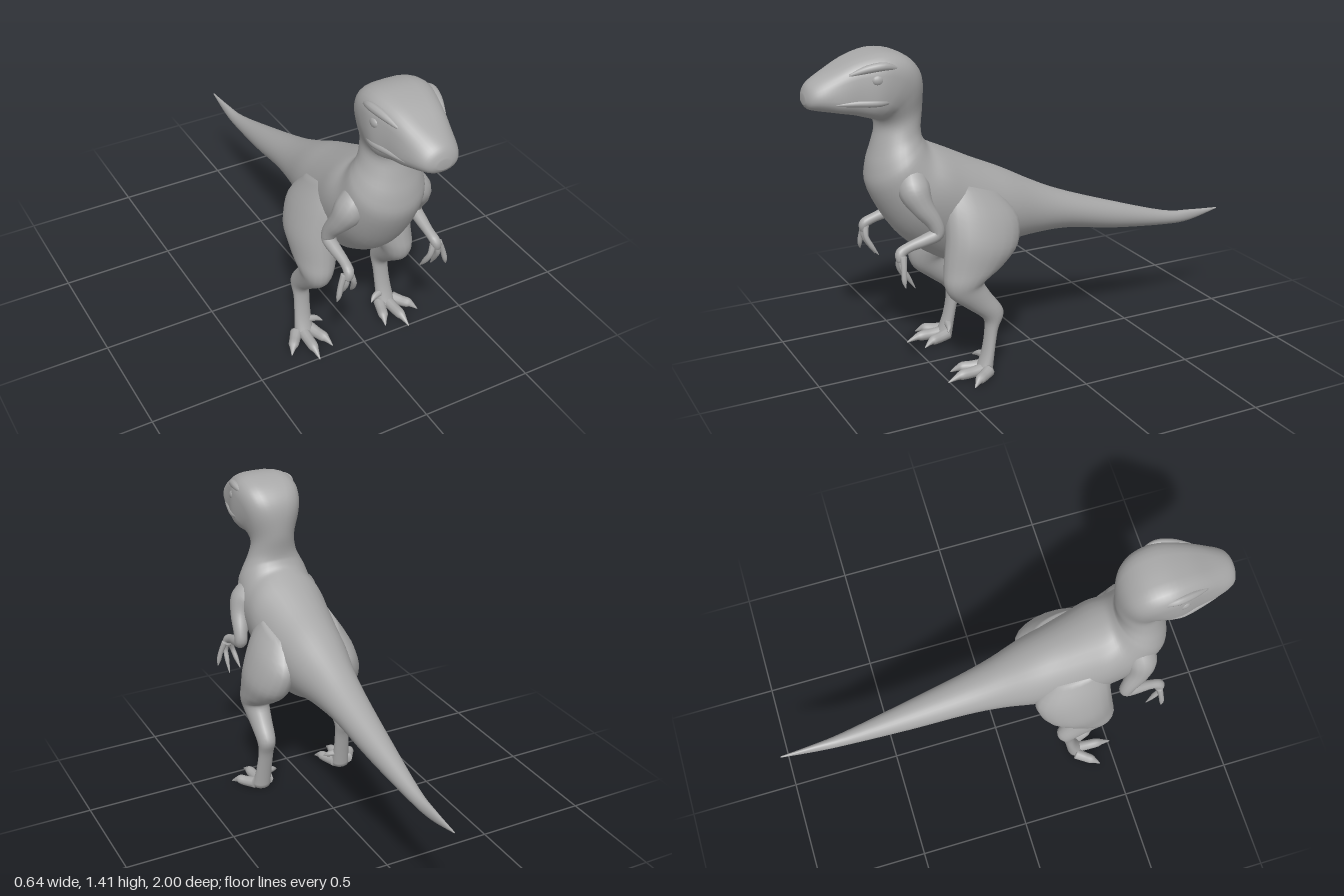
import * as THREE from 'three';

const skin = new THREE.MeshStandardMaterial({ color: 0xa8a8a8 });
skin.name = 'grey skin';

// Catmull-Rom interpolation of every column in a table of sections
function refine(rows, steps) {
  const out = [], n = rows.length - 1;
  for (let i = 0; i < n; i++) {
    const a = rows[Math.max(i - 1, 0)], b = rows[i], c = rows[i + 1], d = rows[Math.min(i + 2, n)];
    for (let s = 0; s < steps; s++) {
      const t = s / steps;
      out.push(b.map((v, k) => v + 0.5 * t * (c[k] - a[k] +
        t * (2 * a[k] - 5 * v + 4 * c[k] - d[k] + t * (3 * (v - c[k]) + d[k] - a[k])))));
    }
  }
  out.push(rows[n]);
  return out;
}

// Closed smooth surface through rings of points, always facing outwards
function loft(name, rings) {
  const m = rings[0].length, pos = [], index = [];
  rings.forEach(r => r.forEach(p => pos.push(p.x, p.y, p.z)));
  for (let i = 0; i < rings.length - 1; i++) {
    for (let j = 0; j < m; j++) {
      const a = i * m + j, b = i * m + (j + 1) % m;
      index.push(a, b, a + m, b, b + m, a + m);
    }
  }
  [0, rings.length - 1].forEach(e => {
    const c = new THREE.Vector3();
    rings[e].forEach(p => c.addScaledVector(p, 1 / m));
    const ci = pos.length / 3;
    pos.push(c.x, c.y, c.z);
    for (let j = 0; j < m; j++) {
      const a = e * m + j, b = e * m + (j + 1) % m;
      index.push(...(e === 0 ? [ci, b, a] : [ci, a, b]));
    }
  });
  const at = i => new THREE.Vector3().fromArray(pos, i * 3);
  let volume = 0;
  for (let i = 0; i < index.length; i += 3) {
    volume += at(index[i]).dot(at(index[i + 1]).cross(at(index[i + 2])));
  }
  if (volume < 0) index.reverse();
  const g = new THREE.BufferGeometry();
  g.setAttribute('position', new THREE.Float32BufferAttribute(pos, 3));
  g.setIndex(index);
  g.computeVertexNormals();
  const mesh = new THREE.Mesh(g, skin);
  mesh.name = name;
  return mesh;
}

// Section row: z1, y1, z2, y2 (opposite edges), half width, centre x
// shape(z1, y1, z2) gives the width taper and the squareness of a section
function sectionLoft(name, rows, sides, shape) {
  return loft(name, refine(rows, 4).map(([z1, y1, z2, y2, w, x = 0]) => {
    const [taper, power] = shape(z1, y1, z2);
    return Array.from({ length: sides }, (_, j) => {
      const a = j / sides * Math.PI * 2, c = Math.cos(a), s = Math.sin(a);
      const u = Math.sign(c) * Math.abs(c) ** power, v = Math.sign(s) * Math.abs(s) ** power;
      return new THREE.Vector3(x + w * u * (1 + taper * v),
        (y1 + y2) / 2 + v * (y1 - y2) / 2, (z1 + z2) / 2 + v * (z1 - z2) / 2);
    });
  }));
}

// Round limb through rows of x, y, z, radius
function limb(name, rows, sides) {
  const pts = refine(rows, 5);
  const v = r => new THREE.Vector3(r[0], r[1], r[2]);
  let side = new THREE.Vector3(1, 0.01, 0.02);
  return loft(name, pts.map((p, i) => {
    const dir = v(pts[Math.min(i + 1, pts.length - 1)]).sub(v(pts[Math.max(i - 1, 0)])).normalize();
    side = side.clone().addScaledVector(dir, -side.dot(dir)).normalize();
    const up = dir.clone().cross(side);
    return Array.from({ length: sides }, (_, j) => {
      const a = j / sides * Math.PI * 2;
      const q = v(p).addScaledVector(side, p[3] * Math.cos(a)).addScaledVector(up, p[3] * Math.sin(a));
      q.y = Math.max(q.y, 0);
      return q;
    });
  }));
}

// Keeled belly, boxy skull and a snout that narrows towards the top
function bodyShape(z1, y1, z2) {
  const { smoothstep } = THREE.MathUtils;
  const keel = 0.25 * Math.exp(-(((z2 - 0.43) / 0.17) ** 2));
  const boxy = smoothstep(y1, 1.15, 1.4) * (1 - smoothstep(z1, 0.85, 1));
  return [keel - 0.15 * smoothstep(z2, 0.76, 0.95), 1 - 0.4 * boxy];
}

export function createModel() {
  const model = new THREE.Group();
  model.name = 'raptor';

  // Tail and torso, then neck and head, joined into one continuous skin
  const trunk = [
    [-1, 0.475, -1, 0.47, 0.003],
    [-0.85, 0.488, -0.84, 0.437, 0.016],
    [-0.7, 0.508, -0.7, 0.44, 0.03],
    [-0.4, 0.605, -0.42, 0.473, 0.062],
    [-0.15, 0.695, -0.17, 0.518, 0.088],
    [0, 0.765, 0, 0.522, 0.112],
    [0.15, 0.845, 0.13, 0.51, 0.145],
    [0.28, 0.905, 0.25, 0.47, 0.165],
    [0.4, 0.965, 0.36, 0.45, 0.175],
    [0.465, 0.996, 0.5, 0.52, 0.18],
    [0.498, 1.014, 0.64, 0.64, 0.177],
    [0.515, 1.04, 0.742, 0.82, 0.163],
  ];
  const neckAndHead = [
    [0.52, 1.06, 0.748, 0.92, 0.14],
    [0.518, 1.095, 0.725, 1.01, 0.113],
    [0.508, 1.17, 0.707, 1.08, 0.1],
    [0.511, 1.27, 0.71, 1.122, 0.118],
    [0.54, 1.34, 0.72, 1.132, 0.133],
    [0.6, 1.39, 0.735, 1.138, 0.144],
    [0.69, 1.41, 0.765, 1.148, 0.146],
    [0.79, 1.393, 0.82, 1.165, 0.126],
    [0.88, 1.355, 0.89, 1.18, 0.108],
    [0.95, 1.322, 0.95, 1.19, 0.09],
    [0.985, 1.295, 0.985, 1.2, 0.066],
    [1, 1.26, 1, 1.22, 0.03],
  ];
  model.add(sectionLoft('body', trunk.concat(neckAndHead), 32, bodyShape));

  for (const s of [1, -1]) {
    const tag = s > 0 ? 'left' : 'right';
    const add = (part, rows, sides) =>
      model.add(limb(tag + part, rows.map(([x, ...rest]) => [x * s, ...rest]), sides));

    // Thigh, shin and ankle, from front and back edges
    const leg = [
      [0.44, 0.86, 0.22, 0.78, 0.045, 0.12],
      [0.47, 0.75, 0.14, 0.67, 0.085, 0.145],
      [0.48, 0.62, 0.16, 0.56, 0.098, 0.172],
      [0.495, 0.5, 0.23, 0.49, 0.088, 0.182],
      [0.5, 0.43, 0.3, 0.45, 0.073, 0.192],
      [0.475, 0.372, 0.328, 0.425, 0.06, 0.195],
      [0.4, 0.31, 0.295, 0.365, 0.05, 0.197],
      [0.333, 0.255, 0.24, 0.28, 0.042, 0.2],
      [0.322, 0.2, 0.268, 0.2, 0.036, 0.2],
      [0.34, 0.1, 0.288, 0.1, 0.038, 0.205],
      [0.375, 0.02, 0.302, 0.004, 0.044, 0.21],
    ].map(([a, b, c, d, w, x]) => [a, b, c, d, w, x * s]);
    model.add(sectionLoft(tag + 'Leg', leg, 20, () => [0, 1]));

    // Clawed toes and the small inner spur
    [[0.245, 0.32, 0.43], [0.215, 0.225, 0.51], [0.18, 0.135, 0.46]].forEach(([x0, x1, z1], i) => {
      const along = (t, y, r) => [x0 + (x1 - x0) * t, y, 0.33 + (z1 - 0.33) * t, r];
      add('Toe' + (i + 1), [along(0, 0.03, 0.027), along(0.35, 0.026, 0.024),
        along(0.62, 0.026, 0.022), along(0.76, 0.022, 0.014), along(1, 0.006, 0.002)], 10);
    });
    add('Spur', [[0.185, 0.08, 0.325, 0.018], [0.15, 0.075, 0.335, 0.013], [0.125, 0.062, 0.35, 0.002]], 8);

    // Shoulder, upper arm and forearm
    add('Arm', [[0.11, 0.9, 0.6, 0.06], [0.15, 0.845, 0.605, 0.066], [0.18, 0.785, 0.585, 0.048],
      [0.2, 0.72, 0.545, 0.034], [0.205, 0.672, 0.535, 0.029], [0.203, 0.652, 0.585, 0.026],
      [0.2, 0.635, 0.65, 0.021], [0.203, 0.615, 0.695, 0.022], [0.21, 0.585, 0.695, 0.02]], 14);

    // Curved fingers
    [[0.165, 0.475, 0.65], [0.222, 0.462, 0.645], [0.258, 0.485, 0.7]].forEach(([x, y, z], i) => {
      const base = 0.197 + i * 0.012;
      add('Finger' + (i + 1), [[base, 0.605, 0.692, 0.015], [(base + x) / 2, 0.56, 0.698, 0.012],
        [x * 0.8 + base * 0.2, 0.515, (z + 0.705) / 2, 0.011], [x, y, z, 0.002]], 8);
    });

    // Brow ridge, eye and cheek ridge
    add('Brow', [[0.125, 1.345, 0.64, 0.006], [0.13, 1.362, 0.7, 0.017],
      [0.117, 1.355, 0.77, 0.017], [0.1, 1.335, 0.84, 0.006]], 10);
    const eye = new THREE.Mesh(new THREE.SphereGeometry(0.026, 16, 12), skin);
    eye.name = tag + 'Eye';
    eye.scale.set(0.6, 0.85, 1);
    eye.position.set(0.132 * s, 1.312, 0.735);
    model.add(eye);
    add('Cheek', [[0.125, 1.225, 0.66, 0.006], [0.133, 1.222, 0.73, 0.016],
      [0.118, 1.225, 0.82, 0.013], [0.1, 1.225, 0.9, 0.006]], 10);
  }
  return model;
}
